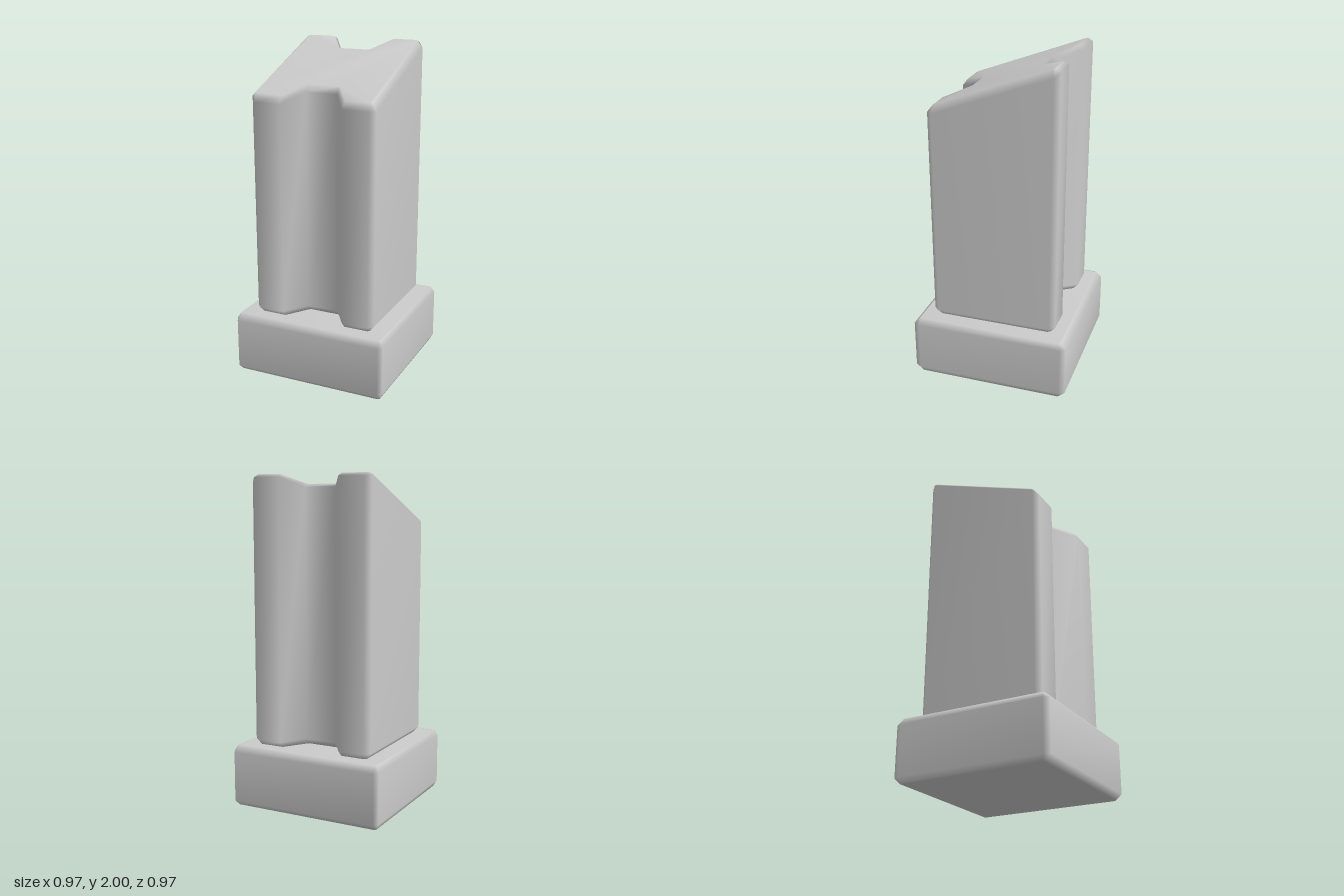
import * as THREE from 'three';

const material = new THREE.MeshStandardMaterial({ color: 0xcccccc });

// Mirror one quarter of an outline (from the +x side to the +z side) into a full
// loop of [x, z], running counterclockwise as seen from above.
function fullOutline(quarter) {
  const back = quarter.map(([x, z]) => [x, -z]);
  const right = [...quarter].reverse().concat(back);
  const left = right.map(([x, z]) => [-x, z]).reverse();
  return right.concat(left);
}

// Skin a stack of equal-length [x, y, z] rings and cap both ends, with soft normals.
function loft(name, rings) {
  const n = rings[0].length;
  const index = [];
  for (let r = 0; r < rings.length - 1; r++) {
    for (let i = 0; i < n; i++) {
      const a = r * n + i, b = r * n + (i + 1) % n;
      index.push(a, b, b + n, a, b + n, a + n);
    }
  }
  const cap = (r, flip) => {
    const contour = rings[r].map(([x, , z]) => new THREE.Vector2(x, -z));
    for (const [a, b, c] of THREE.ShapeUtils.triangulateShape(contour, [])) {
      const tri = flip ? [a, c, b] : [a, b, c];
      index.push(...tri.map((k) => k + r * n));
    }
  };
  cap(0, true);
  cap(rings.length - 1, false);
  const geometry = new THREE.BufferGeometry();
  geometry.setAttribute('position', new THREE.Float32BufferAttribute(rings.flat(2), 3));
  geometry.setIndex(index);
  geometry.computeVertexNormals();
  const mesh = new THREE.Mesh(geometry, material);
  mesh.name = name;
  return mesh;
}

const atHeight = (outline, y) => outline.map(([x, z]) => [x, y, z]);

export function createModel() {
  const group = new THREE.Group();
  group.name = 'pedestalColumn';

  // Square plinth with chamfered edges
  const baseOuter = fullOutline([[0.485, 0.45], [0.465, 0.485]]);
  const baseInner = fullOutline([[0.467, 0.44], [0.457, 0.45]]);
  group.add(loft('base', [
    atHeight(baseInner, 0),
    atHeight(baseOuter, 0.035),
    atHeight(baseOuter, 0.34),
    atHeight(baseInner, 0.375),
  ]));

  // H-shaped column with a slanted top, falling towards the front
  const outer = fullOutline([[0.388, 0.355], [0.358, 0.388], [0.196, 0.388], [0.1, 0.243]]);
  const inner = fullOutline([[0.358, 0.34], [0.348, 0.355], [0.2, 0.355], [0.1, 0.21]]);
  const slope = (z) => 1.864 - 0.38 * z;
  // The top bevel is narrow along the -x edge
  const topInner = inner.map(([x, z]) => [x < -0.3 ? x - 0.022 : x, z]);
  const drop = (x) => (x < -0.38 ? 0.012 : x > 0.38 ? 0.045 : 0.03);
  group.add(loft('column', [
    atHeight(inner, 0.373),
    atHeight(outer, 0.41),
    outer.map(([x, z]) => [x, slope(z) - drop(x), z]),
    topInner.map(([x, z]) => [x, slope(z), z]),
  ]));

  return group;
}
